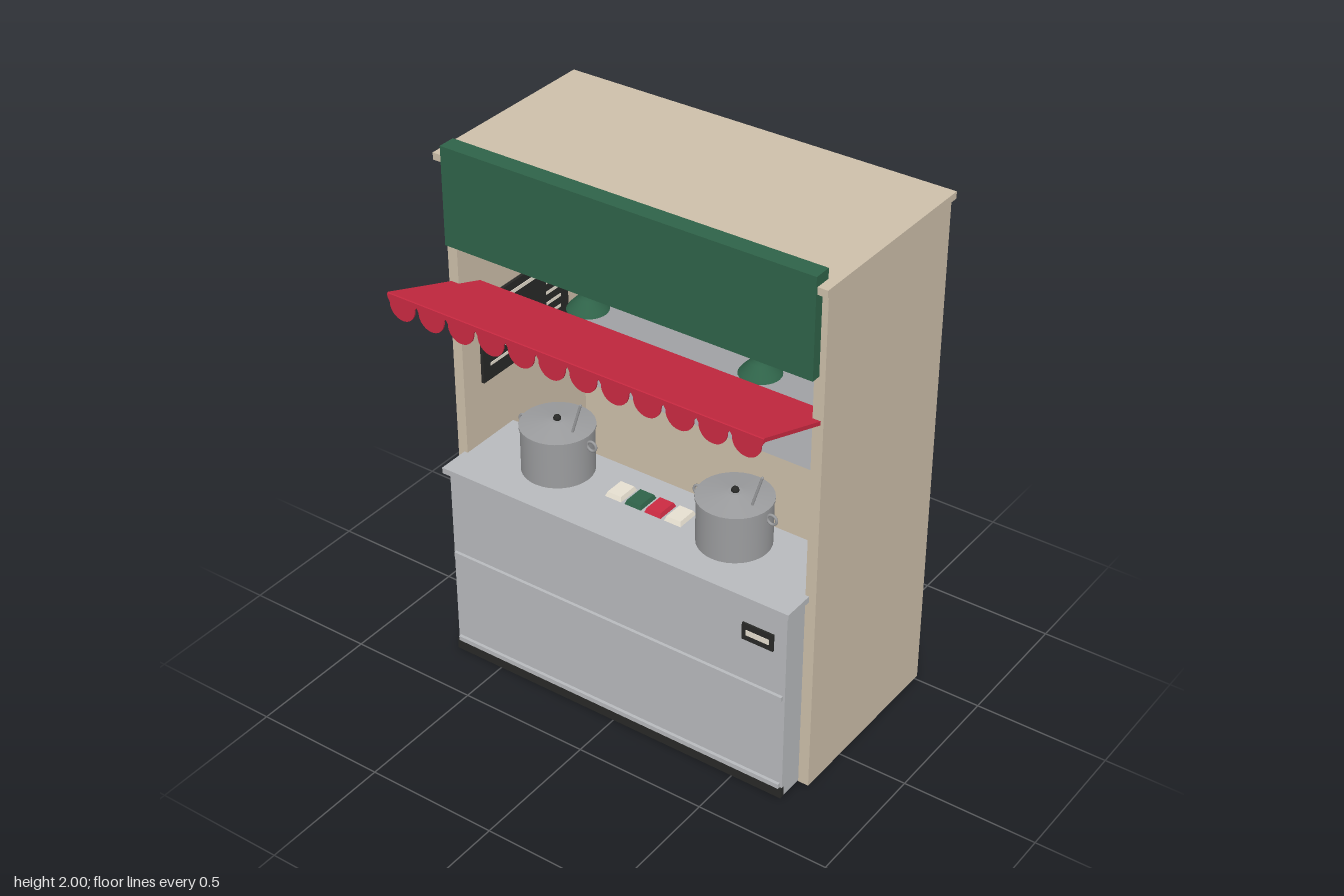
import * as THREE from 'three';

const mat = (name, color) => {
  const m = new THREE.MeshStandardMaterial({ color });
  m.name = name;
  return m;
};

export function createModel() {
  const root = new THREE.Group();
  root.name = 'foodStall';

  const beige = mat('beige panel', 0xcdbfaa);
  const steel = mat('brushed steel', 0xb8babd);
  const potGrey = mat('pot metal', 0x9b9c9e);
  const green = mat('dark green', 0x2f6349);
  const red = mat('awning red', 0xcb2a42);
  const black = mat('charcoal', 0x282927);
  const cream = mat('cream', 0xe6dfd0);

  const add = (name, geo, material, x = 0, y = 0, z = 0, parent = root) => {
    const m = new THREE.Mesh(geo, material);
    m.name = name;
    m.position.set(x, y, z);
    parent.add(m);
    return m;
  };
  // Box given by its minimum and maximum on each axis
  const box = (name, material, x0, x1, y0, y1, z0, z1, parent = root) =>
    add(name, new THREE.BoxGeometry(x1 - x0, y1 - y0, z1 - z0), material,
      (x0 + x1) / 2, (y0 + y1) / 2, (z0 + z1) / 2, parent);
  const group = (name, x = 0, y = 0, z = 0) => {
    const g = new THREE.Group();
    g.name = name;
    g.position.set(x, y, z);
    root.add(g);
    return g;
  };

  // Cabinet shell
  for (const s of [-1, 1]) {
    box('sideWall', beige, s * 0.72 - 0.02, s * 0.72 + 0.02, 0, 1.94, -0.52, 0.2);
  }
  box('backWall', beige, -0.7, 0.7, 0, 1.94, -0.518, -0.48);
  box('roof', beige, -0.755, 0.755, 1.937, 1.963, -0.523, 0.23);
  box('backSplash', steel, -0.7, 0.7, 0.74, 1.55, -0.48, -0.472);
  box('signBoard', green, -0.718, 0.718, 1.635, 2, 0.17, 0.236);

  // Counter with trim rails, plinth and handle plate
  box('counterBody', steel, -0.698, 0.698, 0.002, 0.772, -0.05, 0.3);
  box('counterTop', steel, -0.714, 0.714, 0.772, 0.795, -0.055, 0.322);
  box('plinth', black, -0.699, 0.699, 0, 0.04, 0.29, 0.308);
  for (const y of [0.427, 0.05]) box('trimRail', steel, -0.69, 0.69, y - 0.009, y + 0.009, 0.298, 0.312);
  box('handlePlate', black, 0.54, 0.662, 0.625, 0.692, 0.319, 0.326);
  box('handleInset', cream, 0.556, 0.646, 0.647, 0.668, 0.325, 0.328);

  // Awning, rising outwards, with a scalloped valance
  const slope = Math.atan2(0.11, 0.315);
  const awning = add('awning', new THREE.BoxGeometry(1.46, 0.014, 0.45), red, 0, 1.506, 0.304);
  awning.rotation.x = -slope;
  const count = 12, pitch = 1.46 / count, r = 0.052;
  const flap = new THREE.Shape();
  flap.moveTo(-pitch / 2, 0.085);
  flap.lineTo(-pitch / 2, 0.07);
  flap.lineTo(-r, 0.055);
  flap.absarc(0, r, r, Math.PI, Math.PI * 2, false);
  flap.lineTo(r, 0.055);
  flap.lineTo(pitch / 2, 0.07);
  flap.lineTo(pitch / 2, 0.085);
  const flapGeo = new THREE.ExtrudeGeometry(flap, { depth: 0.006, bevelEnabled: false, curveSegments: 10 });
  for (let i = 0; i < count; i++) {
    add('valanceScallop', flapGeo, red, -0.73 + pitch * (i + 0.5), 1.5, 0.513);
  }

  // Stock pots with lids, ring handles and ladles
  const lathe = (pts, n = 32) => new THREE.LatheGeometry(pts.map(p => new THREE.Vector2(p[0], p[1])), n);
  for (const x of [-0.389, 0.345]) {
    const pot = group('stockPot', x, 0.795, 0.085);
    add('potBody', new THREE.CylinderGeometry(0.13, 0.13, 0.176, 32), potGrey, 0, 0.088, 0, pot);
    add('potLid', new THREE.CylinderGeometry(0.025, 0.134, 0.018, 32), potGrey, 0, 0.19, 0, pot);
    add('potRim', new THREE.CylinderGeometry(0.134, 0.134, 0.008, 32), potGrey, 0, 0.177, 0, pot);
    add('lidKnob', new THREE.SphereGeometry(0.014, 12, 8), black, 0, 0.203, 0, pot);
    for (const s of [-1, 1]) {
      add('potHandle', new THREE.TorusGeometry(0.018, 0.005, 8, 18), potGrey, s * 0.146, 0.143, 0, pot);
    }
    const path = new THREE.LineCurve3(new THREE.Vector3(0.075, 0.17, 0.02), new THREE.Vector3(0.117, 0.308, 0.02));
    add('ladle', new THREE.TubeGeometry(path, 1, 0.005, 8), potGrey, 0, 0, 0, pot);
    add('ladleTip', new THREE.SphereGeometry(0.005, 8, 6), potGrey, 0.117, 0.308, 0.02, pot);
  }

  // Row of small tapered dishes between the pots
  [cream, green, red, cream].forEach((m, i) => {
    const geo = new THREE.CylinderGeometry(0.04, 0.048, 0.016, 4, 1).rotateY(Math.PI / 4).toNonIndexed();
    geo.computeVertexNormals();
    const dish = add('servingDish', geo, m, -0.121 + i * 0.082, 0.803, 0.085);
    dish.scale.z = 1.35;
  });

  // Pendant lamps
  for (const x of [-0.347, 0.347]) {
    const lamp = group('pendantLamp', x, 1.385, -0.045);
    const shade = add('lampShade', lathe([[0.074, 0], [0.066, 0.012], [0.035, 0.045], [0.022, 0.062], [0.02, 0.085], [0, 0.09]]),
      green, 0, 0, 0, lamp);
    shade.material = green.clone();
    shade.material.side = THREE.DoubleSide;
    add('lampBulb', new THREE.SphereGeometry(0.022, 16, 12), cream, 0, 0, 0, lamp);
    add('lampCord', new THREE.CylinderGeometry(0.003, 0.003, 0.47, 6), black, 0, 0.32, 0, lamp);
  }

  // Menu board on the inner side wall, with plain chalk bars
  box('menuBoard', black, -0.7, -0.688, 1.037, 1.36, -0.375, 0.107);
  box('menuBar', cream, -0.689, -0.686, 1.315, 1.33, -0.23, -0.04);
  for (let i = 0; i < 5; i++) {
    const y = 1.27 - i * 0.043;
    box('menuBar', cream, -0.689, -0.686, y - 0.006, y + 0.006, -0.11 + (i % 2) * 0.04, 0.07);
    box('menuBar', cream, -0.689, -0.686, y - 0.006, y + 0.006, -0.33, -0.25);
  }
  return root;
}
